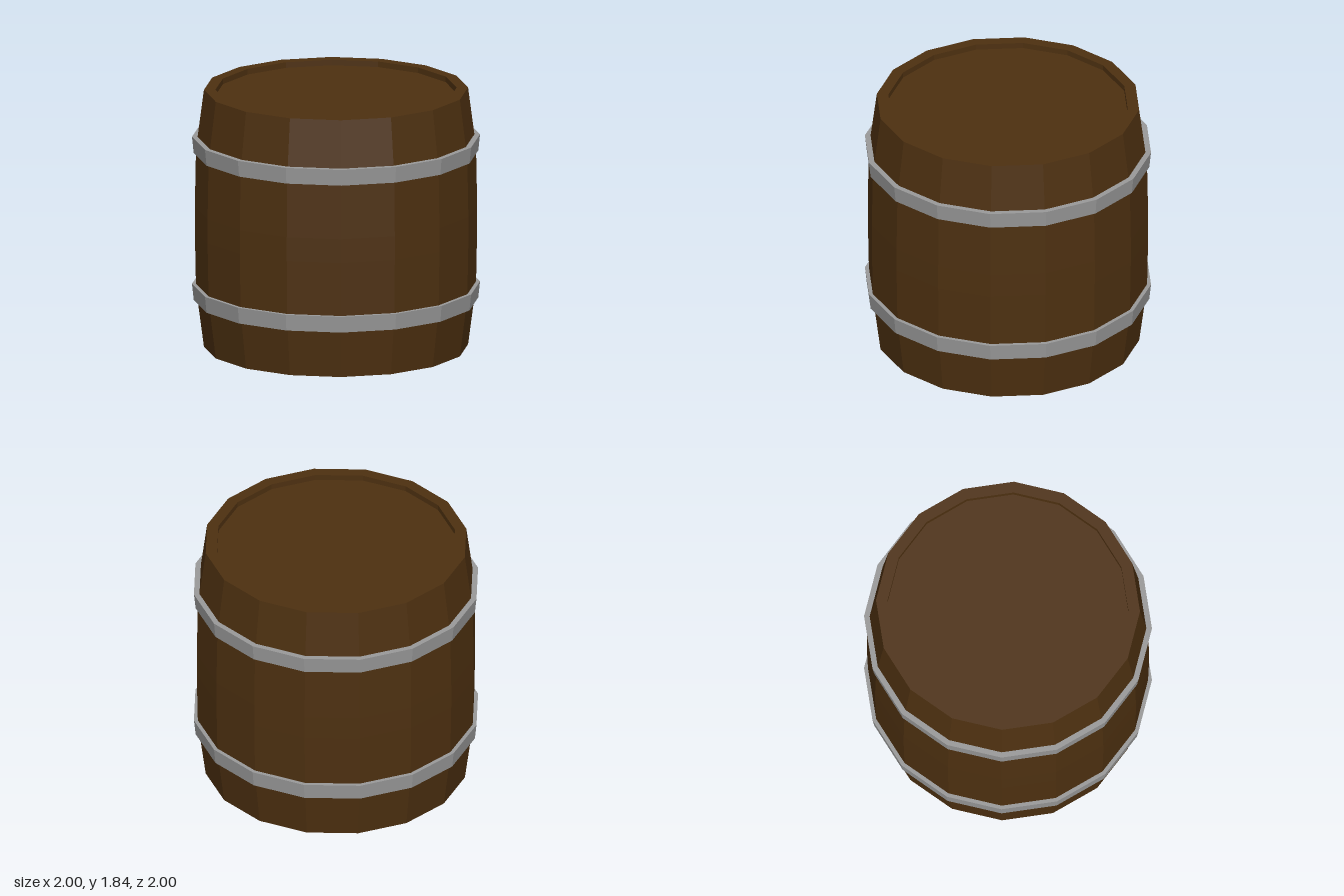
import * as THREE from 'three';

const SIDES = 16;

export function createModel() {
  const wood = new THREE.MeshStandardMaterial({ color: 0x4d3010, flatShading: true });
  wood.name = 'dark wood';
  const iron = new THREE.MeshStandardMaterial({ color: 0x999999, flatShading: true });
  iron.name = 'iron';

  const barrel = new THREE.Group();
  barrel.name = 'barrel';

  const add = (name, geometry, material, y = 0) => {
    const mesh = new THREE.Mesh(geometry, material);
    mesh.name = name;
    mesh.position.y = y;
    barrel.add(mesh);
  };
  const lathe = (profile) =>
    new THREE.LatheGeometry(profile.map(([r, y]) => new THREE.Vector2(r, y)), SIDES);

  // bulging staves, top rim and the inner wall down to the lid
  add('staves', lathe([
    [0.917, 0], [0.972, 0.42], [0.98, 0.83], [0.98, 1.0],
    [0.972, 1.415], [0.917, 1.835], [0.837, 1.835], [0.837, 1.795],
  ]), wood);

  // recessed lid and flat base
  add('lid', new THREE.CircleGeometry(0.837, SIDES).rotateX(-Math.PI / 2), wood, 1.795);
  add('base', new THREE.CircleGeometry(0.917, SIDES).rotateX(Math.PI / 2), wood);

  // two hoops, slightly wider at their top edge
  const hoop = [[0.95, 0], [0.988, 0], [1, 0.115], [0.95, 0.115], [0.95, 0]];
  add('lowerHoop', lathe(hoop), iron, 0.335);
  add('upperHoop', lathe(hoop), iron, 1.385);

  return barrel;
}
